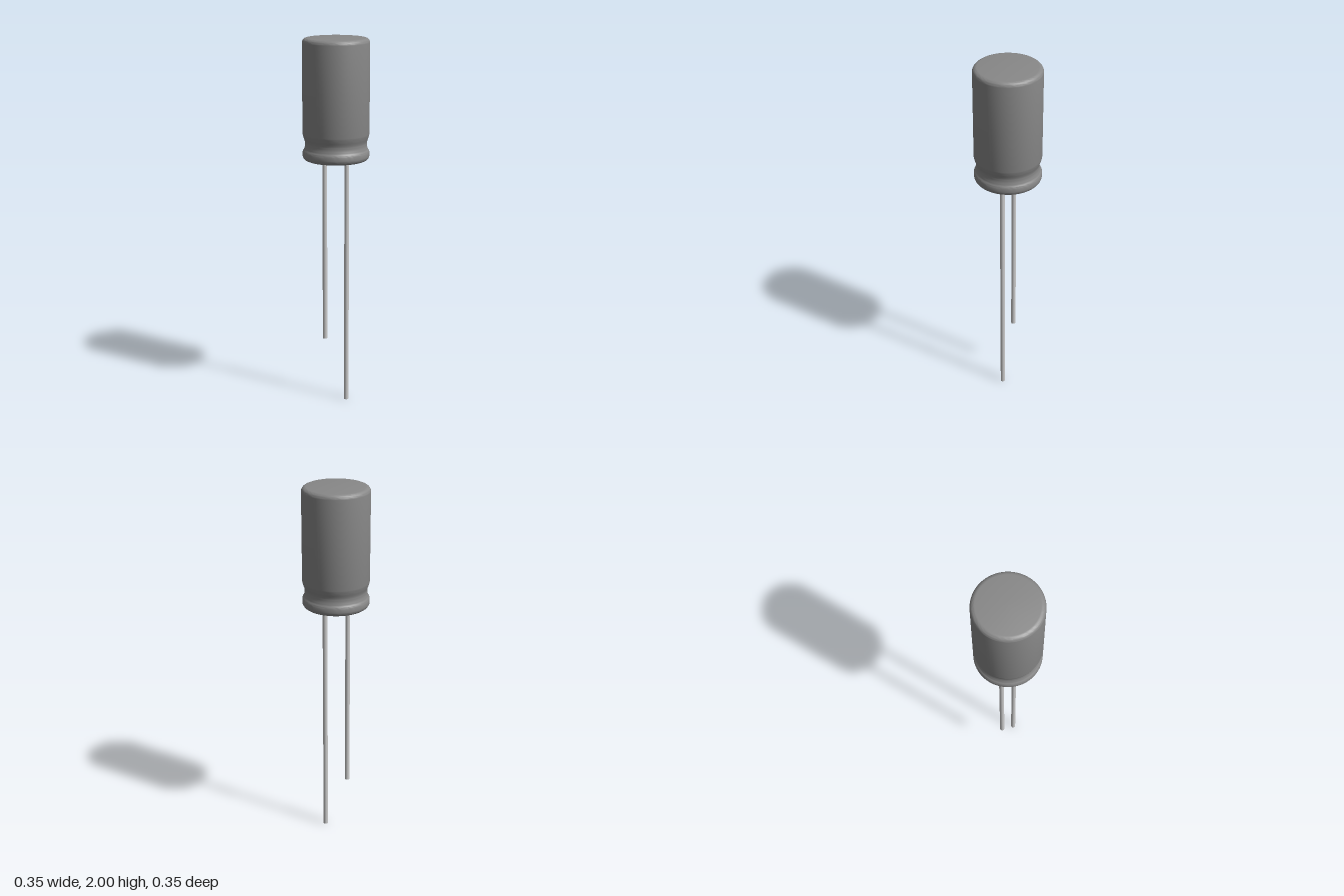
import * as THREE from 'three';
import { toCreasedNormals } from 'three/addons/utils/BufferGeometryUtils.js';

const BODY_R = 0.177;

// Points of a quarter-round corner, from angle a0 to a1 in degrees
function fillet(cx, cy, r, a0, a1, steps = 6) {
  return Array.from({ length: steps + 1 }, (_, i) => {
    const a = THREE.MathUtils.degToRad(a0 + (a1 - a0) * i / steps);
    return [cx + r * Math.cos(a), cy + r * Math.sin(a)];
  });
}

// Turned part with sharp corners kept sharp; profile runs bottom to top
function turned(name, profile, color) {
  const points = profile.map(([r, y]) => new THREE.Vector2(Math.max(r, 0), y));
  const geometry = toCreasedNormals(new THREE.LatheGeometry(points, 72), Math.PI / 6);
  const mesh = new THREE.Mesh(geometry, new THREE.MeshStandardMaterial({ color }));
  mesh.name = name;
  return mesh;
}

export function createModel() {
  const group = new THREE.Group();
  group.name = 'capacitor';

  // Can: rolled bottom edge, crimped groove, straight wall, rounded top
  const groove = new THREE.SplineCurve([
    [BODY_R, 1.5], [0.173, 1.482], [0.165, 1.458], [0.164, 1.44], [0.168, 1.42], [0.174, 1.41],
  ].reverse().map(([r, y]) => new THREE.Vector2(r, y))).getPoints(14).map(p => [p.x, p.y]);
  group.add(turned('can', [
    [0.095, 1.358],
    ...fillet(BODY_R - 0.024, 1.382, 0.024, -90, 0),
    [BODY_R, 1.402],
    ...groove,
    ...fillet(BODY_R - 0.024, 1.976, 0.024, 0, 90),
    [0, 2],
  ], 0x888888));

  // Seal: thin lip around a recessed floor
  group.add(turned('seal', [
    [0, 1.385], [0.095, 1.385], [0.095, 1.347], [0.1, 1.347], [0.1, 1.36],
  ], 0x555555));

  // Wire leads, the left one longer
  for (const [name, x, bottom] of [['longLead', 0.068, 0], ['shortLead', -0.072, 0.332]]) {
    const top = 1.4;
    const lead = new THREE.Mesh(
      new THREE.CylinderGeometry(0.0127, 0.0127, top - bottom, 24),
      new THREE.MeshStandardMaterial({ color: 0xcccccc }),
    );
    lead.name = name;
    lead.position.set(x, (top + bottom) / 2, 0);
    group.add(lead);
  }

  return group;
}
